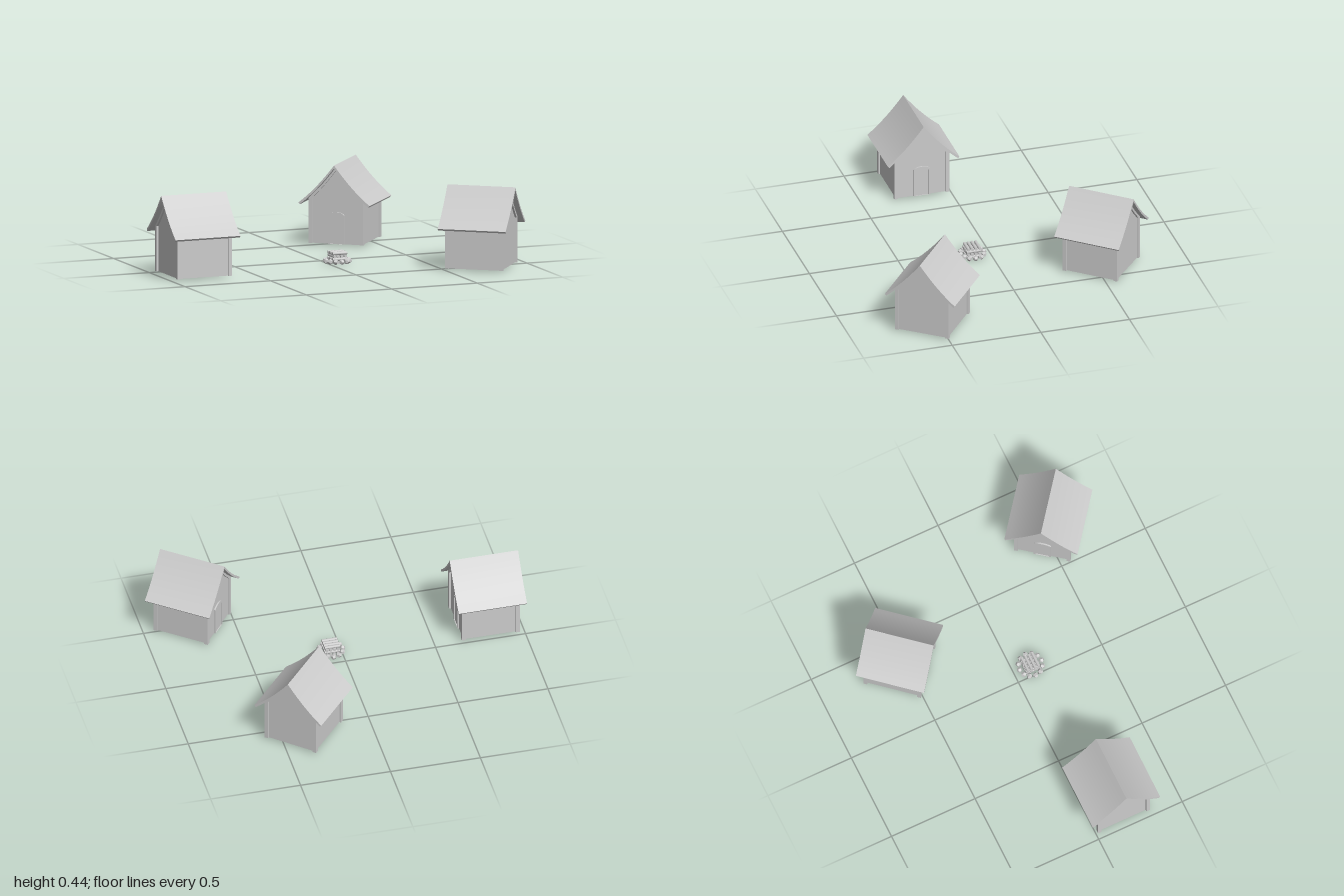
import * as THREE from 'three';
import { toCreasedNormals } from 'three/addons/utils/BufferGeometryUtils.js';

const FLOOR = 0.01, RIDGE = 0.445, EAVE = 0.233, HALF_SPAN = 0.202;
const ROOF_LEN = 0.38, WALL_X = 0.15, WALL_Z = 0.145, POST = 0.021;
const material = new THREE.MeshStandardMaterial({ color: 0xcccccc });

function add(parent, name, geometry, x = 0, y = 0, z = 0) {
  const mesh = new THREE.Mesh(geometry, material);
  mesh.name = name;
  mesh.position.set(x, y, z);
  parent.add(mesh);
  return mesh;
}

// Height of the concave roof slope at a distance from the ridge
function roofY(z) {
  const t = Math.abs(z) / HALF_SPAN;
  return RIDGE - (RIDGE - EAVE) * t - 0.055 * t * (1 - t);
}

// Slope curve from -half to +half, lowered by drop
function slope(half, drop) {
  const points = [], n = 8;
  for (let i = -n; i <= n; i++) {
    const z = (i / n) * half;
    points.push(new THREE.Vector2(z, roofY(z) - drop));
  }
  return points;
}

// Extrude a cross-section along the ridge direction, centred on x
function alongX(shape, length, curveSegments = 8) {
  const g = new THREE.ExtrudeGeometry(shape, { depth: length, bevelEnabled: false, curveSegments });
  g.translate(0, 0, -length / 2).rotateY(Math.PI / 2);
  return toCreasedNormals(g, 0.4);
}

// Band between the slope curve and a lower copy of it
function slopeBand(half, top, bottom, inset = 0) {
  return new THREE.Shape([...slope(half, top), ...slope(half - inset, bottom).reverse()]);
}

// Low arched outline of the doorway
function arch(Type, half, base, side, top) {
  const s = new Type();
  s.moveTo(-half, base);
  s.lineTo(half, base);
  s.lineTo(half, side);
  s.quadraticCurveTo(half * 0.7, top, 0, top);
  s.quadraticCurveTo(-half * 0.7, top, -half, side);
  s.lineTo(-half, base);
  return s;
}

function createHouse(name, x, z, angle) {
  const house = new THREE.Group();
  house.name = name;

  // Solid body with gable ends reaching up under the roof
  const body = new THREE.Shape([
    new THREE.Vector2(-WALL_Z, FLOOR), new THREE.Vector2(WALL_Z, FLOOR),
    ...slope(WALL_Z, 0.01).reverse(),
  ]);
  add(house, 'walls', alongX(body, WALL_X * 2));

  // Curved roof
  add(house, 'roof', alongX(slopeBand(HALF_SPAN, 0, 0.016, 0.008), ROOF_LEN));

  // Corner posts and gable rafters
  for (const sx of [-1, 1]) {
    for (const sz of [-1, 1]) {
      const top = roofY(WALL_Z + POST / 2) - 0.008;
      add(house, 'cornerPost', new THREE.BoxGeometry(POST, top - FLOOR, POST),
        sx * WALL_X, (top + FLOOR) / 2, sz * WALL_Z);
    }
    add(house, 'gableRafter', alongX(slopeBand(WALL_Z + POST / 2, 0.008, 0.034), POST), sx * WALL_X);
  }

  // Door and its frame on the +x gable
  const frame = arch(THREE.Shape, 0.047, FLOOR, 0.168, 0.185);
  frame.holes.push(arch(THREE.Path, 0.037, FLOOR + 0.0005, 0.160, 0.175));
  add(house, 'doorFrame', alongX(frame, 0.016), WALL_X);
  add(house, 'door', alongX(arch(THREE.Shape, 0.038, FLOOR, 0.161, 0.176), 0.006), WALL_X);

  house.position.set(x, 0, z);
  house.rotation.y = angle;
  return house;
}

function createCampfire(x, z) {
  const fire = new THREE.Group();
  fire.name = 'campfire';

  // Ring of stones
  const count = 12;
  const stone = new THREE.DodecahedronGeometry(0.0155, 0);
  for (let i = 0; i < count; i++) {
    const a = (i / count) * Math.PI * 2;
    const mesh = add(fire, 'stone', stone, Math.cos(a) * 0.065, 0.0145, Math.sin(a) * 0.065);
    mesh.rotation.y = -a;
  }

  // Criss-cross stack of logs
  const log = new THREE.CylinderGeometry(0.0085, 0.0085, 0.084, 10);
  for (let layer = 0; layer < 4; layer++) {
    for (let i = 0; i < 4; i++) {
      const offset = (i - 1.5) * 0.021;
      const onX = layer % 2 === 1;
      const mesh = add(fire, 'log', log, onX ? 0 : offset, 0.0095 + layer * 0.016, onX ? offset : 0);
      if (onX) mesh.rotation.z = Math.PI / 2;
      else mesh.rotation.x = Math.PI / 2;
    }
  }
  fire.position.set(x, 0, z);
  return fire;
}

export function createModel() {
  const model = new THREE.Group();
  model.name = 'village';
  // Three houses with their doors turned toward the fire
  model.add(
    createHouse('rightHouse', -0.81, 0.166, 0),
    createHouse('backHouse', 0.367, -0.535, Math.atan2(-0.758, -0.652)),
    createHouse('leftHouse', 0.722, 0.527, Math.atan2(0.615, -0.788)),
    createCampfire(0.058, 0.1),
  );
  return model;
}
